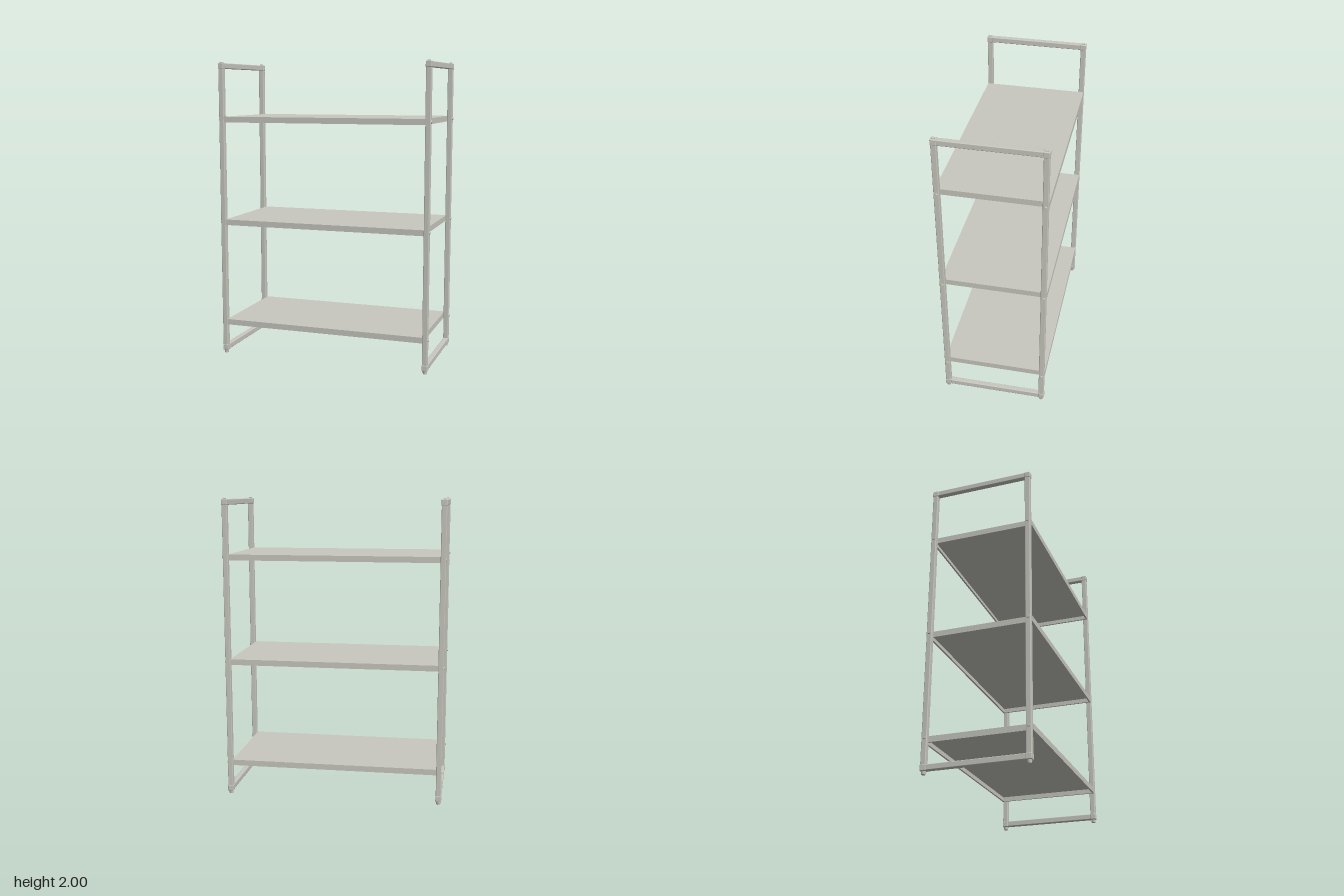
import * as THREE from 'three';
import { RoundedBoxGeometry } from 'three/addons/geometries/RoundedBoxGeometry.js';

export function createModel() {
  const model = new THREE.Group();
  const paint = new THREE.MeshStandardMaterial({ color: 0xc8c8c0 });
  paint.name = 'warmGreyPaint';

  const add = (parent, name, geometry, x, y, z) => {
    const mesh = new THREE.Mesh(geometry, paint);
    mesh.name = name;
    mesh.position.set(x, y, z);
    parent.add(mesh);
    return mesh;
  };
  const box = (w, h, d) => new THREE.BoxGeometry(w, h, d);
  const tube = (w, h, d) => new RoundedBoxGeometry(w, h, d, 2, 0.005);

  const postX = 0.708, postZ = 0.327, tubeSize = 0.035;
  const shelfHeights = [0.224, 0.922, 1.619];

  // Two end frames of square tube with corner blocks, feet and shelf bolts
  for (const sx of [-1, 1]) {
    const frame = new THREE.Group();
    frame.name = sx > 0 ? 'leftEndFrame' : 'rightEndFrame';
    model.add(frame);
    const x = sx * postX;

    for (const y of [0.04, 1.975]) {
      add(frame, y < 1 ? 'bottomRail' : 'topRail', tube(tubeSize, 0.037, 0.62), x, y, 0);
    }
    for (const sz of [-1, 1]) {
      const z = sz * postZ;
      add(frame, 'post', tube(tubeSize, 1.91, tubeSize), x, 1.0075, z);
      for (const y of [0.04, 1.975]) {
        add(frame, 'cornerBlock', tube(0.039, 0.04, 0.039), x, y, z);
      }
      add(frame, 'topPlug', box(0.018, 0.006, 0.018), x, 1.997, z);
      add(frame, 'foot', new THREE.CylinderGeometry(0.015, 0.013, 0.022, 16), x, 0.011, z);
      for (const y of shelfHeights) {
        const bolt = add(frame, 'bolt', new THREE.CylinderGeometry(0.009, 0.011, 0.006, 12),
          sx * 0.728, y, z);
        bolt.rotation.z = -sx * Math.PI / 2;
      }
    }
  }

  // Folded sheet shelves: top panel, turned-down edges and a narrow return lip
  const width = 1.38, depth = 0.69, height = 0.038, sheet = 0.005, lip = 0.012;
  for (const y of shelfHeights) {
    const shelf = new THREE.Group();
    shelf.name = 'shelf';
    shelf.position.y = y;
    model.add(shelf);
    add(shelf, 'panel', box(width, sheet, depth), 0, (height - sheet) / 2, 0);
    const flangeH = height - sheet, flangeY = -sheet / 2;
    const lipY = (sheet - height) / 2;
    for (const s of [-1, 1]) {
      add(shelf, 'longEdge', box(width, flangeH, sheet), 0, flangeY, s * (depth - sheet) / 2);
      add(shelf, 'longLip', box(width, sheet, lip), 0, lipY, s * (depth - lip) / 2);
      add(shelf, 'endEdge', box(sheet, flangeH, depth - 2 * sheet),
        s * (width - sheet) / 2, flangeY, 0);
      add(shelf, 'endLip', box(lip, sheet, depth - 2 * lip), s * (width - lip) / 2, lipY, 0);
    }
  }
  return model;
}
